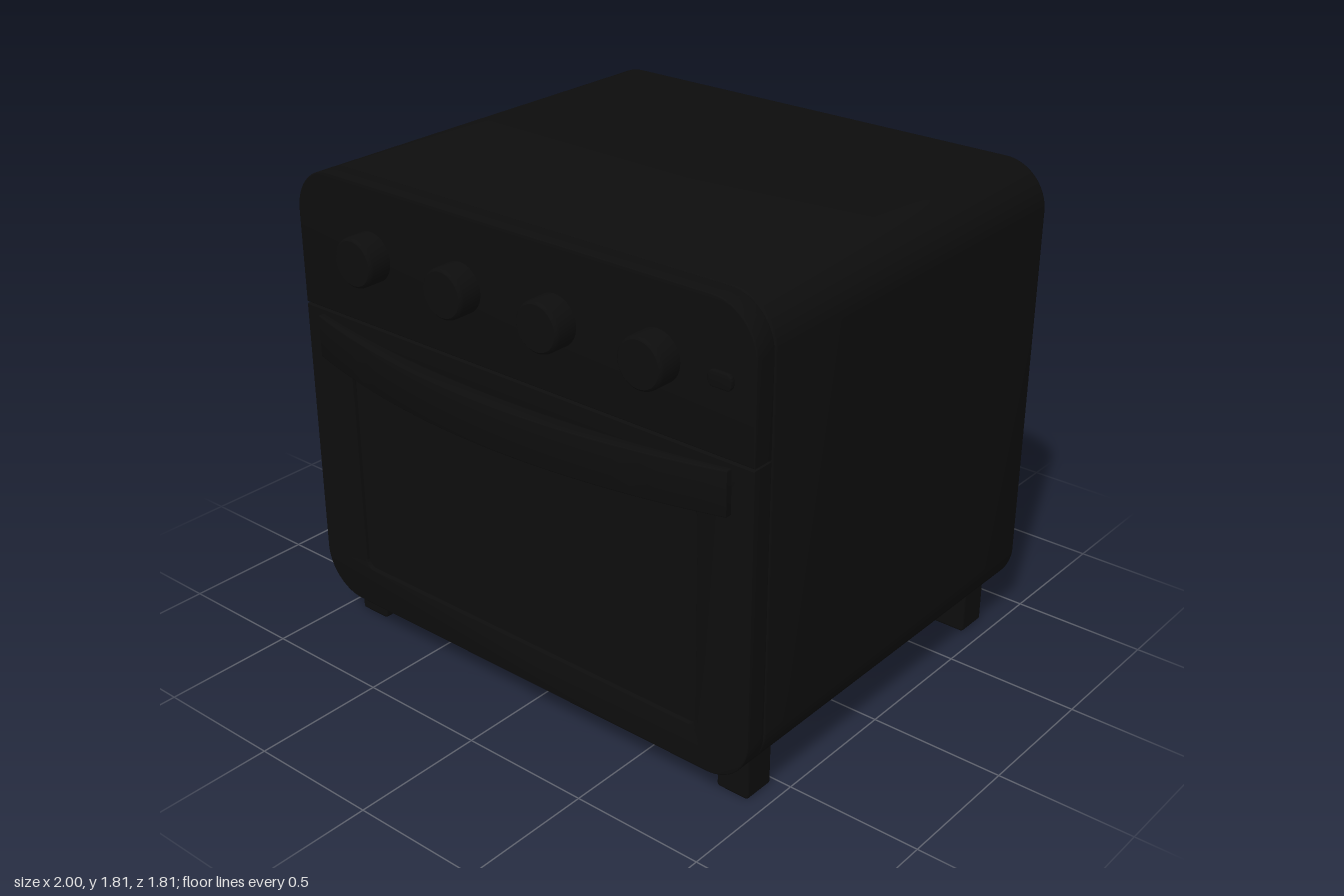
import * as THREE from 'three';
import { toCreasedNormals } from 'three/addons/utils/BufferGeometryUtils.js';
import { RoundedBoxGeometry } from 'three/addons/geometries/RoundedBoxGeometry.js';

const black = new THREE.MeshStandardMaterial({ color: 0x0d0d0d });
black.name = 'black enamel';

// Rectangle outline with separate bottom and top corner radii
function roundedRect(x0, y0, x1, y1, rb, rt, Type = THREE.Shape) {
  const s = new Type();
  s.moveTo(x0 + rb, y0);
  s.lineTo(x1 - rb, y0);
  if (rb) s.absarc(x1 - rb, y0 + rb, rb, -Math.PI / 2, 0);
  s.lineTo(x1, y1 - rt);
  if (rt) s.absarc(x1 - rt, y1 - rt, rt, 0, Math.PI / 2);
  s.lineTo(x0 + rt, y1);
  if (rt) s.absarc(x0 + rt, y1 - rt, rt, Math.PI / 2, Math.PI);
  s.lineTo(x0, y0 + rb);
  if (rb) s.absarc(x0 + rb, y0 + rb, rb, Math.PI, Math.PI * 1.5);
  return s;
}

// Extrude a shape between two depths; a bevel stays inside the outline
function slab(shape, z0, z1, bevel = 0) {
  const g = new THREE.ExtrudeGeometry(shape, {
    depth: z1 - z0 - 2 * bevel, curveSegments: 14, bevelEnabled: bevel > 0,
    bevelThickness: bevel, bevelSize: bevel, bevelOffset: -bevel, bevelSegments: 3,
  });
  g.translate(0, 0, z0 + bevel);
  return toCreasedNormals(g, 0.6);
}

export function createModel() {
  const model = new THREE.Group();
  model.name = 'toasterOven';
  const add = (name, geometry, x = 0, y = 0, z = 0) => {
    const mesh = new THREE.Mesh(geometry, black);
    mesh.name = name;
    mesh.position.set(x, y, z);
    model.add(mesh);
    return mesh;
  };

  // Housing with soft edges
  add('body', slab(roundedRect(-1, 0.125, 1, 1.81, 0.17, 0.17), -0.905, 0.66, 0.015));

  // Control panel above the door
  add('controlPanel', slab(roundedRect(-1, 1.294, 1, 1.81, 0, 0.17), 0.66, 0.745, 0.004));

  // Door frame with a recessed glass pane
  const door = roundedRect(-1, 0.125, 1, 1.286, 0.17, 0);
  door.holes.push(roundedRect(-0.785, 0.28, 0.785, 1.085, 0.035, 0.035, THREE.Path));
  add('door', slab(door, 0.66, 0.745, 0.004));
  add('window', slab(roundedRect(-0.79, 0.27, 0.79, 1.09, 0.03, 0.03), 0.66, 0.73));

  // Bowed handle, thick in the middle and tapering to the door
  const bow = new THREE.Shape();
  const steps = 24, half = 0.915;
  for (let i = 0; i <= steps; i++) {
    const x = -half + (2 * half * i) / steps;
    bow[i ? 'lineTo' : 'moveTo'](x, -(0.903 - 0.161 * x * x));
  }
  for (let i = steps; i >= 0; i--) {
    const x = -half + (2 * half * i) / steps;
    bow.lineTo(x, -(0.842 - 0.118 * x * x));
  }
  const handle = slab(bow, 1.11, 1.27, 0.004);
  handle.rotateX(-Math.PI / 2);
  add('handle', handle);

  // Four knobs
  const profile = [[0.09, 0], [0.09, 0.075], [0.087, 0.084], [0.08, 0.09], [0, 0.09]];
  const knob = toCreasedNormals(
    new THREE.LatheGeometry(profile.map(([r, h]) => new THREE.Vector2(r, h)), 36), 0.7);
  knob.rotateX(Math.PI / 2);
  for (const x of [-0.635, -0.21, 0.207, 0.625]) add('knob', knob, x, 1.555, 0.744);

  // Small button beside the knobs
  add('button', slab(roundedRect(0.83, 1.525, 0.92, 1.58, 0.02, 0.02), 0.744, 0.762, 0.005));

  // Four feet
  const foot = new RoundedBoxGeometry(0.13, 0.2, 0.13, 3, 0.012);
  for (const x of [-0.87, 0.87])
    for (const z of [-0.745, 0.588]) add('foot', foot, x, 0.1, z);

  return model;
}
